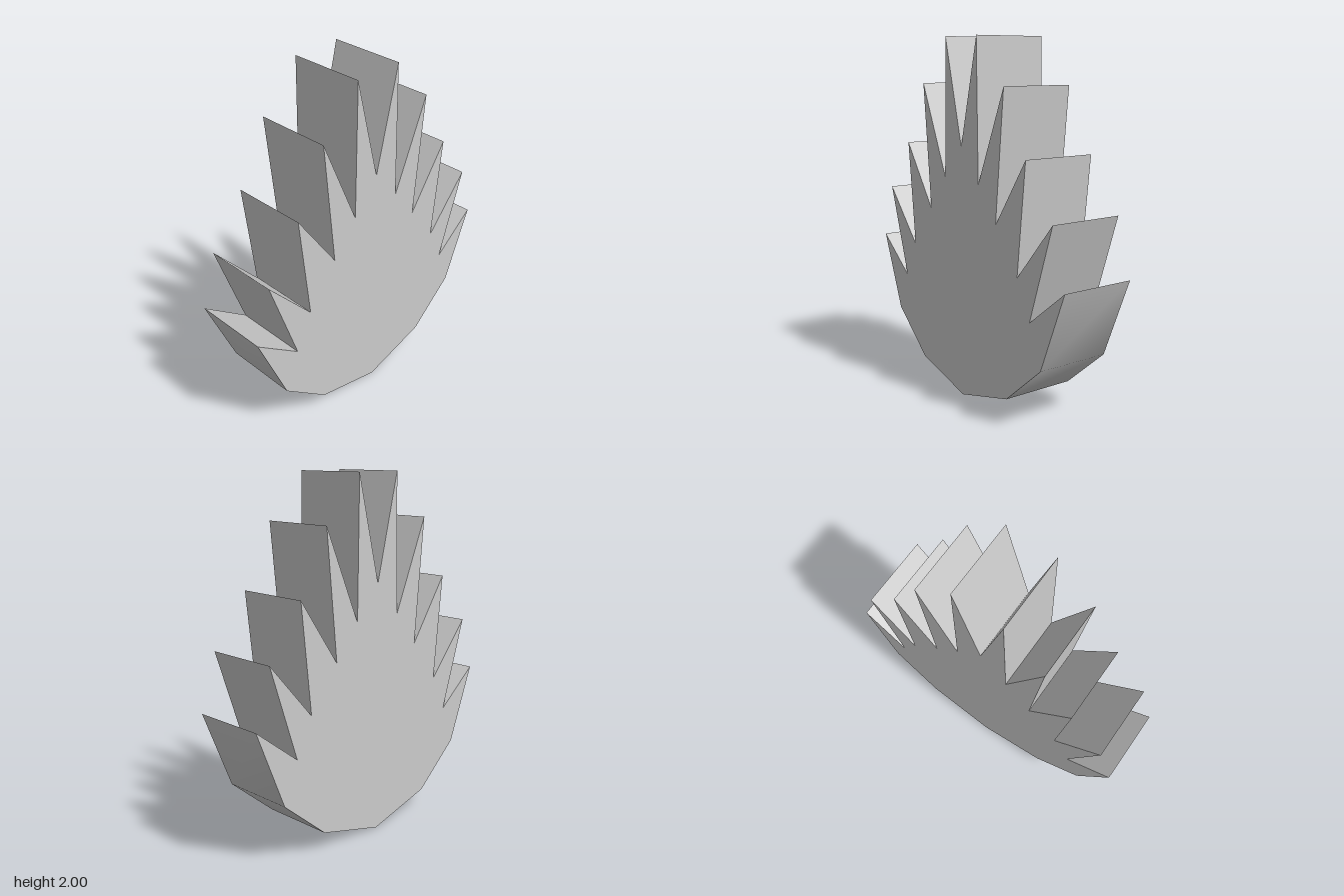
import * as THREE from 'three';
import { toCreasedNormals } from 'three/addons/utils/BufferGeometryUtils.js';

export function createModel() {
  const group = new THREE.Group();
  group.name = 'spikyLeaf';
  const thickness = 0.43;

  // Half outline from the bottom point up to the top notch: rounded base, then five spikes
  const half = [
    [0, 0], [0.41, 0.11], [0.69, 0.35],
    [0.865, 0.79], [0.60, 0.58],
    [0.77, 1.105], [0.497, 0.79],
    [0.56, 1.395], [0.313, 1.033],
    [0.38, 1.745], [0.158, 1.225],
    [0.145, 2], [0, 1.415],
  ].map(([u, y]) => new THREE.Vector2(u, y));

  // Mirror the half, leaving out the two shared points on the centre line
  const mirrored = half.slice(1, -1).reverse().map((p) => new THREE.Vector2(-p.x, p.y));
  const outline = new THREE.Shape([...half, ...mirrored]);

  // Thick plate, turned so that its thickness runs along x
  const plate = new THREE.ExtrudeGeometry(outline, { depth: thickness, bevelEnabled: false });
  plate.translate(0, 0, -thickness / 2);
  plate.rotateY(Math.PI / 2);

  // Smooth over the rounded base, sharp at the spikes and rims
  const geometry = toCreasedNormals(plate, THREE.MathUtils.degToRad(35));
  const body = new THREE.Mesh(geometry, new THREE.MeshStandardMaterial({ color: 0xcccccc }));
  body.name = 'spikedPlate';
  group.add(body);
  return group;
}
